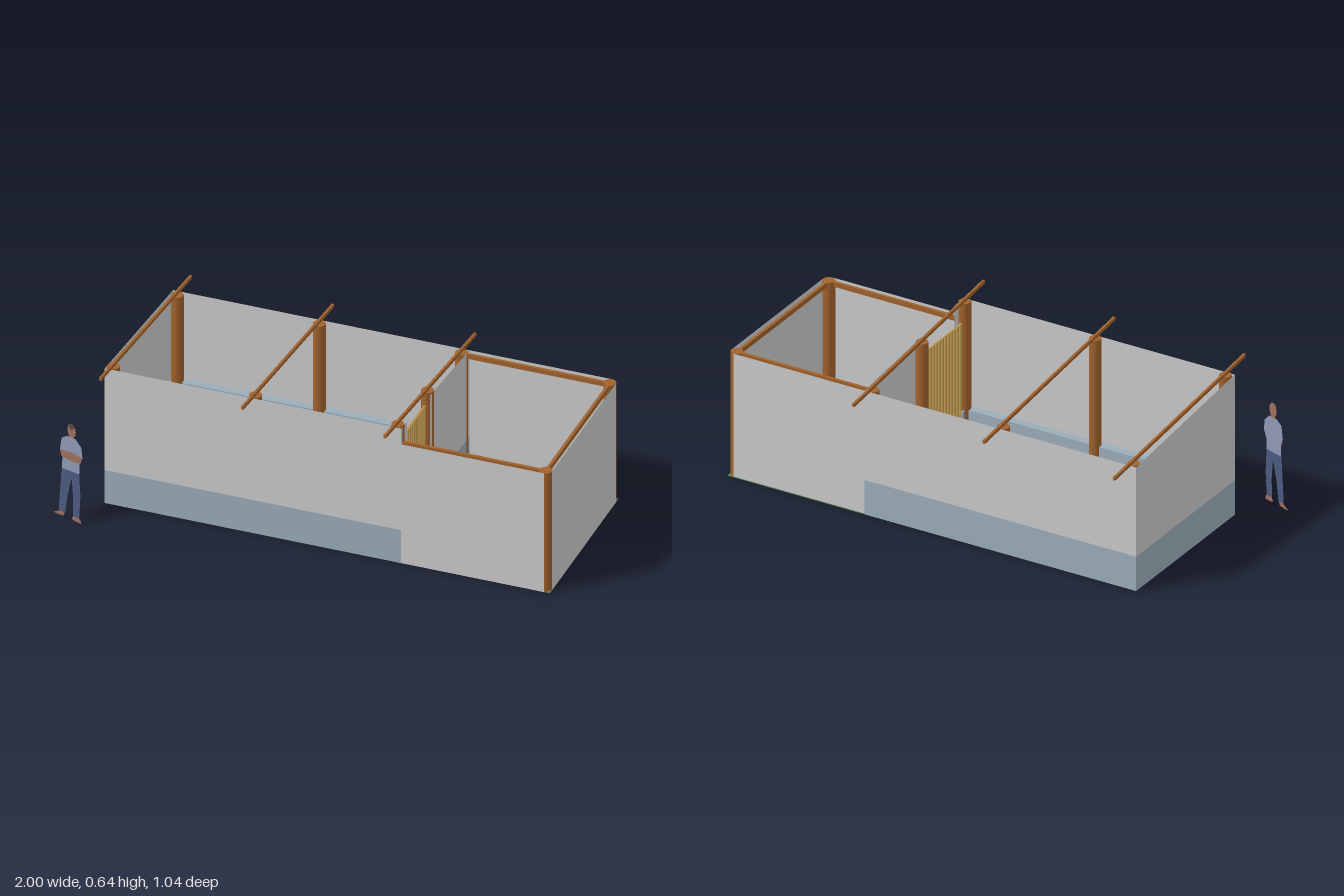
import * as THREE from 'three';

const mat = (color) => new THREE.MeshStandardMaterial({ color, side: THREE.DoubleSide });
const GREY = mat(0xcccccc), BLUE = mat(0x9badba), GREEN = mat(0x5f8558), WOOD = mat(0xa0622d),
  SLAT = mat(0xc49d52), SKIN = mat(0xa0705f), SHIRT = mat(0x8f9ab5), PANTS = mat(0x4a5a80), HAIR = mat(0x5f4a42);

// Main outline of the building
const X0 = -0.84, XP = 0.385, X1 = 1.0, ZB = -0.396, ZF = 0.34;
const LOW = 0.54, HIGH = 0.612, PLINTH = 0.15, T = 0.035;
const DOOR0 = 0.03, DOOR1 = 0.277;
const POST_F = ZF - 0.025, POST_B = ZB + 0.025, POST_X = X1 - 0.025;
const roofY = (z) => LOW + (HIGH - LOW) * (z - ZB) / (ZF - ZB);

export function createModel() {
  const root = new THREE.Group();

  const add = (name, geometry, material, parent = root) => {
    const mesh = new THREE.Mesh(geometry, material);
    mesh.name = name;
    parent.add(mesh);
    return mesh;
  };
  // Box given by its limits
  const box = (name, material, x0, x1, y0, y1, z0, z1) =>
    add(name, new THREE.BoxGeometry(x1 - x0, y1 - y0, z1 - z0), material)
      .position.set((x0 + x1) / 2, (y0 + y1) / 2, (z0 + z1) / 2);
  const flat = (points) => new THREE.ShapeGeometry(new THREE.Shape(points.map(([a, b]) => new THREE.Vector2(a, b))));
  // Thin wall across the depth, outlined in (z, y)
  const sideWall = (name, x, points) => add(name, flat(points).rotateY(-Math.PI / 2), GREY).position.x = x;
  const slopedWall = (name, x, z0, z1) =>
    sideWall(name, x, [[z0, PLINTH], [z1, PLINTH], [z1, roofY(z1)], [z0, roofY(z0)]]);

  // Thin outer walls
  add('frontWall', flat([[X0, PLINTH], [XP, PLINTH], [XP, 0], [POST_X, 0], [POST_X, LOW], [XP, LOW], [XP, HIGH], [X0, HIGH]]), GREY)
    .position.z = ZF;
  add('backWall', flat([[X0, PLINTH], [XP, PLINTH], [XP, 0], [POST_X, 0], [POST_X, LOW], [X0, LOW]]), GREY)
    .position.z = ZB;
  slopedWall('endWall', X0, ZB, ZF);
  sideWall('yardEndWall', X1, [[POST_B, 0], [POST_F, 0], [POST_F, LOW], [POST_B, LOW]]);

  // Partition with a doorway
  slopedWall('partitionBack', XP, ZB, DOOR0);
  slopedWall('partitionFront', XP, DOOR1, ZF);

  // Hollow plinth around the roofed room, open below and at the doorway, outlined in (x, z)
  const ring = [[X0, ZB], [XP, ZB], [XP, DOOR0], [XP - T, DOOR0], [XP - T, ZB + T], [X0 + T, ZB + T],
    [X0 + T, ZF - T], [XP - T, ZF - T], [XP - T, DOOR1], [XP, DOOR1], [XP, ZF], [X0, ZF]];
  ring.forEach(([xa, za], i) => {
    const [xb, zb] = ring[(i + 1) % ring.length];
    const side = add('plinthSide', new THREE.PlaneGeometry(Math.hypot(xb - xa, zb - za), PLINTH), BLUE);
    side.position.set((xa + xb) / 2, PLINTH / 2, (za + zb) / 2);
    side.rotation.y = Math.atan2(za - zb, xb - xa);
  });
  add('plinthLedge', flat(ring.map(([x, z]) => [x, -z])).rotateX(-Math.PI / 2), BLUE).position.y = PLINTH;

  // Floors
  box('roomFloor', BLUE, X0 + T, XP - T, 0, 0.004, ZB + T, ZF - T);
  box('doorSill', BLUE, XP - T, 0.37, 0, 0.004, DOOR0, DOOR1);
  box('yardFloor', GREEN, XP, X1, 0, 0.004, ZB, ZF);

  // Round posts
  const post = (x, z, h) =>
    add('post', new THREE.CylinderGeometry(0.025, 0.025, h, 20), WOOD).position.set(x, h / 2, z);
  const rafterX = [-0.813, -0.226, 0.362];
  for (const x of rafterX) {
    post(x, POST_F, 0.615);
    post(x, POST_B, LOW);
  }
  post(rafterX[2], -0.003, 0.583);
  post(POST_X, POST_F, LOW);
  post(POST_X, POST_B, LOW);

  // Sloping rafters
  for (const x of rafterX) {
    const rafter = add('rafter', new THREE.BoxGeometry(0.01, 0.014, 0.98), WOOD);
    rafter.position.set(x, 0.587, -0.03);
    rafter.rotation.x = -Math.atan2(0.1, 0.975);
  }

  // Top rails around the yard
  for (const z of [POST_F, POST_B]) box('yardRail', WOOD, rafterX[2], POST_X, LOW - 0.02, LOW, z - 0.006, z + 0.006);
  box('yardRail', WOOD, POST_X - 0.006, POST_X + 0.006, LOW - 0.02, LOW, POST_B, POST_F);

  // Slatted gate in the doorway
  for (let i = 0; i < 12; i++) {
    const z = 0.034 + i * 0.0225;
    box('gateSlat', SLAT, 0.357, 0.367, 0.01, 0.53, z - 0.006, z + 0.006);
  }

  // Flat standing figure for scale, turned a little
  const figure = new THREE.Group();
  figure.name = 'scaleFigure';
  figure.position.set(-0.915, 0, 0.501);
  figure.rotation.y = -0.32;
  root.add(figure);
  const part = (name, material, points) => add(name, flat(points), material, figure);
  part('leg', PANTS, [[-0.064, 0.02], [-0.032, 0.02], [-0.021, 0.1], [0, 0.19], [0, 0.22], [-0.05, 0.22], [-0.056, 0.14]]);
  part('leg', PANTS, [[0.006, 0.02], [0.038, 0.02], [0.044, 0.12], [0.038, 0.22], [0, 0.22], [0, 0.19], [0.008, 0.1]]);
  part('foot', SKIN, [[-0.089, 0.004], [-0.08, 0], [-0.042, 0.003], [-0.034, 0.02], [-0.06, 0.02]]);
  part('foot', SKIN, [[0, 0.006], [0.012, 0], [0.046, 0], [0.046, 0.01], [0.038, 0.02], [0.008, 0.02]]);
  part('shirt', SHIRT, [[-0.048, 0.218], [0.038, 0.218], [0.04, 0.27], [0.054, 0.3], [0.049, 0.345], [0.02, 0.374],
    [-0.02, 0.374], [-0.05, 0.355], [-0.058, 0.3], [-0.046, 0.27]]);
  part('foldedArms', SKIN, [[-0.058, 0.3], [-0.05, 0.272], [0, 0.266], [0.045, 0.272], [0.053, 0.3], [0, 0.308]])
    .position.z = 0.001;
  part('neck', SKIN, [[-0.012, 0.37], [0.012, 0.37], [0.012, 0.392], [-0.012, 0.392]]);
  add('head', new THREE.CircleGeometry(1, 20).scale(0.021, 0.03, 1).translate(0, 0.405, 0), SKIN, figure);
  add('hair', new THREE.CircleGeometry(1, 16, 0.6, Math.PI - 1.2).scale(0.022, 0.031, 1).translate(0, 0.406, 0.001), HAIR, figure);

  return root;
}
